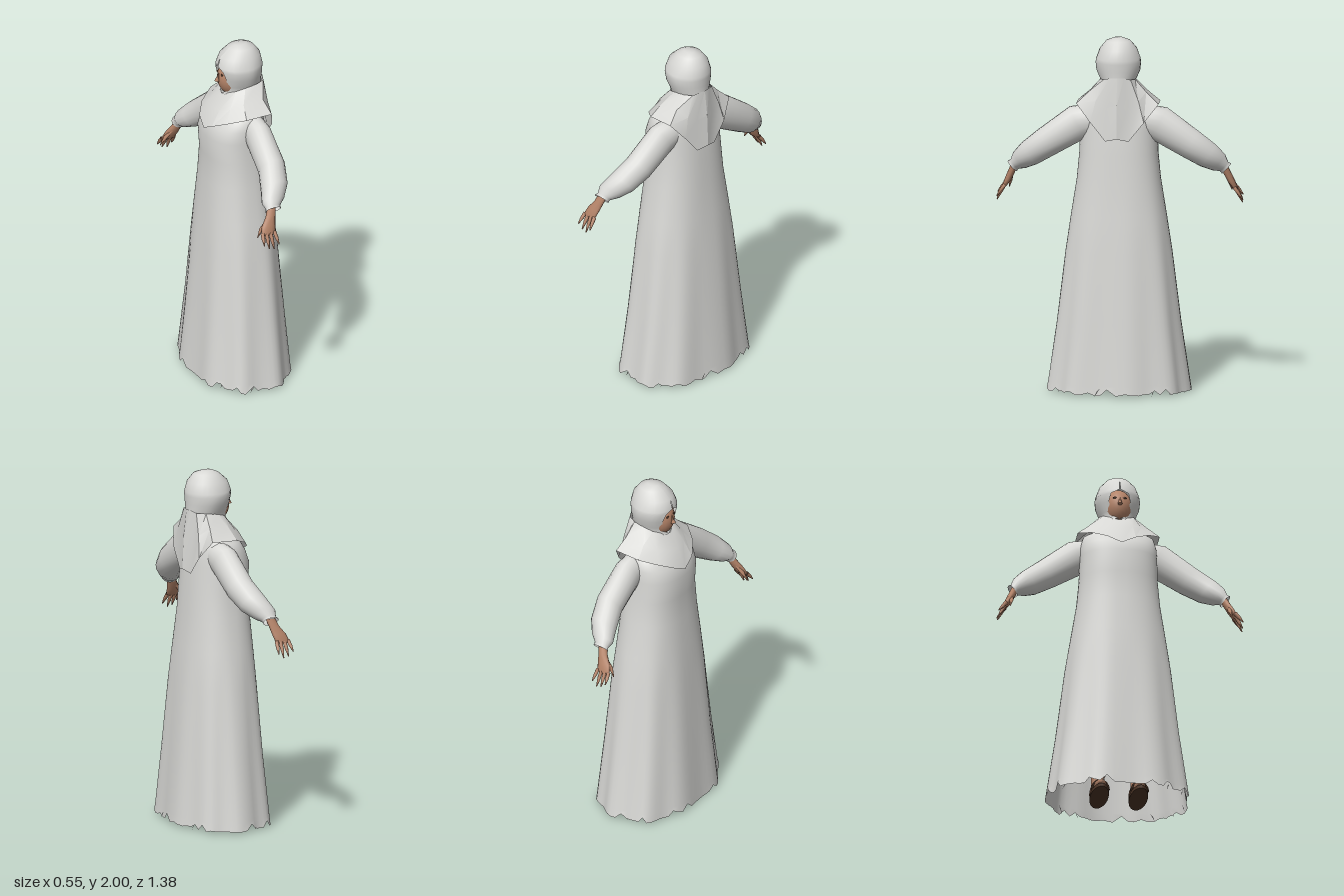
import * as THREE from 'three';
import { toCreasedNormals } from 'three/addons/utils/BufferGeometryUtils.js';

const cloth = new THREE.MeshStandardMaterial({ color: 0xd8d8d5, side: THREE.DoubleSide });
cloth.name = 'off-white cloth';
const skin = new THREE.MeshStandardMaterial({ color: 0xb58469, side: THREE.DoubleSide });
skin.name = 'brown skin';
const leather = new THREE.MeshStandardMaterial({ color: 0x4e3627, side: THREE.DoubleSide });
leather.name = 'dark leather';

const V = (x, y, z) => new THREE.Vector3(x, y, z);
let seed = 7;
const rand = () => (seed = (seed * 16807) % 2147483647) / 2147483647;

// Skin a list of equal-length point rings; open rings leave a slit
function loft(rings, closed = true) {
  const n = rings[0].length, pos = [], idx = [];
  rings.forEach(r => r.forEach(p => pos.push(p.x, p.y, p.z)));
  for (let i = 0; i < rings.length - 1; i++) {
    for (let j = 0; j < (closed ? n : n - 1); j++) {
      const a = i * n + j, b = i * n + (j + 1) % n, c = a + n, d = b + n;
      idx.push(a, b, c, b, d, c);
    }
  }
  const g = new THREE.BufferGeometry();
  g.setAttribute('position', new THREE.Float32BufferAttribute(pos, 3));
  g.setIndex(idx);
  g.computeVertexNormals();
  return g;
}

// Limb through stations [x, y, z, radius along x, radius across]
function limb(stations, sides = 12) {
  const pts = stations.map(s => V(s[0], s[1], s[2]));
  return loft(stations.map((s, i) => {
    const t = pts[Math.min(i + 1, pts.length - 1)].clone().sub(pts[Math.max(i - 1, 0)]);
    const across = V(0, -t.z, t.y).normalize();
    return Array.from({ length: sides }, (_, j) => {
      const a = j / sides * Math.PI * 2;
      return pts[i].clone().addScaledVector(across, s[4] * Math.sin(a)).add(V(s[3] * Math.cos(a), 0, 0));
    });
  }));
}

function add(parent, name, geo, mat) {
  const m = new THREE.Mesh(geo, mat);
  m.name = name;
  parent.add(m);
  return m;
}

// Mirror a geometry across z, keeping its faces outward
function mirrorZ(geo) {
  const g = geo.clone().scale(1, 1, -1);
  const ix = g.index.array;
  for (let i = 0; i < ix.length; i += 3) [ix[i], ix[i + 1]] = [ix[i + 1], ix[i]];
  return g;
}
function addPair(parent, name, geo, mat) {
  add(parent, 'left' + name, geo, mat);
  add(parent, 'right' + name, mirrorZ(geo), mat);
}

// Robe: [y, front x, back x, half width], with folds and a ragged hem
function robe() {
  const rows = [
    [0.02, -0.272, 0.262, 0.395], [0.06, -0.268, 0.258, 0.388], [0.4, -0.242, 0.235, 0.342],
    [0.8, -0.215, 0.208, 0.296], [1.0, -0.2, 0.19, 0.266], [1.2, -0.185, 0.172, 0.234],
    [1.35, -0.178, 0.164, 0.22], [1.48, -0.188, 0.152, 0.216], [1.55, -0.162, 0.145, 0.213],
    [1.61, -0.125, 0.13, 0.2], [1.66, -0.075, 0.12, 0.13], [1.71, -0.04, 0.1, 0.07]];
  const n = 72, power = 0.84;
  return loft(rows.map(([y, x0, x1, zh], i) => Array.from({ length: n }, (_, j) => {
    const a = j / n * Math.PI * 2, c = Math.cos(a), s = Math.sin(a);
    const fold = 1 + 0.035 * Math.cos(a * 9 + 1) * Math.max(0, 1 - y / 1.1);
    const sq = v => Math.sign(v) * Math.pow(Math.abs(v), power);
    const rag = i === 0 ? -0.012 + 0.05 * Math.pow(rand(), 4) : 0;
    return V((x0 + x1) / 2 + sq(c) * (x1 - x0) / 2 * fold, y + rag, sq(s) * zh * fold);
  })));
}

// Torn bits hanging round the hem
function hemTatters(parent) {
  for (let i = 0; i < 16; i++) {
    const a = i / 16 * Math.PI * 2 + rand() * 0.25, w = 0.03 + rand() * 0.05;
    const at = (t, r, y) => V(Math.cos(t) * 0.265 * r, y, Math.sin(t) * 0.385 * r);
    const g = new THREE.BufferGeometry().setFromPoints(
      [at(a, 1, 0.05), at(a + w, 1.01, 0.03), at(a + w * 1.5, 1.02, 0.002)]);
    g.setIndex([0, 1, 2]);
    g.computeVertexNormals();
    add(parent, 'hemTatter', g, cloth);
  }
}

// Hood: [y, front x, back x, half width, half angle of the face opening]
function hood() {
  const rows = [
    [2.0, 0.0, 0.07, 0.025, 0], [1.985, -0.035, 0.112, 0.068, 0], [1.94, -0.085, 0.148, 0.104, 0],
    [1.885, -0.104, 0.16, 0.124, 0.03], [1.865, -0.104, 0.16, 0.127, 0.4], [1.82, -0.095, 0.157, 0.122, 0.52],
    [1.77, -0.08, 0.155, 0.1, 0.5], [1.74, -0.075, 0.157, 0.092, 0.42], [1.715, -0.08, 0.16, 0.095, 0]];
  const n = 28;
  const rings = rows.map(([y, x0, x1, zh, gap]) => Array.from({ length: n + 1 }, (_, j) => {
    const a = gap + j / n * (Math.PI * 2 - 2 * gap);
    const wrinkle = y < 1.9 ? 1 + 0.012 * Math.cos(a * 7) : 1;
    return V((x0 + x1) / 2 - Math.cos(a) * (x1 - x0) / 2, y, Math.sin(a) * zh * wrinkle);
  }));
  rings.unshift(rings[0].map(() => V(0.035, 2.0, 0)));
  return loft(rings, false);
}

// Shoulder cape: half outlines from front to back, mirrored to full rings
function cape() {
  const halves = [
    [[-0.06, 1.72, 0], [-0.06, 1.73, 0.045], [-0.03, 1.75, 0.085], [0.02, 1.765, 0.1],
      [0.09, 1.775, 0.097], [0.14, 1.78, 0.075], [0.155, 1.79, 0.04], [0.162, 1.79, 0]],
    [[-0.14, 1.64, 0], [-0.125, 1.65, 0.07], [-0.085, 1.665, 0.12], [-0.02, 1.695, 0.16],
      [0.1, 1.705, 0.16], [0.15, 1.66, 0.12], [0.158, 1.62, 0.06], [0.18, 1.64, 0]],
    [[-0.19, 1.52, 0], [-0.178, 1.56, 0.08], [-0.125, 1.6, 0.16], [-0.035, 1.635, 0.23],
      [0.12, 1.64, 0.23], [0.162, 1.54, 0.15], [0.17, 1.435, 0.065], [0.188, 1.45, 0]]];
  const rings = halves.map(h => [
    ...h.map(p => V(...p)),
    ...h.slice(1, -1).reverse().map(p => V(p[0], p[1], -p[2]))]);
  return toCreasedNormals(loft(rings), 0.55);
}

function hand(parent) {
  addPair(parent, 'Palm', limb([[-0.055, 1.26, 0.585, 0.028, 0.02], [-0.068, 1.22, 0.602, 0.03, 0.02],
    [-0.09, 1.175, 0.622, 0.042, 0.019], [-0.1, 1.14, 0.641, 0.043, 0.014], [-0.102, 1.128, 0.647, 0.03, 0.004]], 10), skin);
  // Four fingers fan out from the knuckles
  [0.03, 0, -0.01, 0.02].forEach((lift, i) => {
    const x = -0.136 + i * 0.024, tip = -0.145 + i * 0.03, y = 1.062 + lift * 0.8;
    addPair(parent, 'Finger', limb([[x, 1.142, 0.64, 0.012, 0.012],
      [(x + tip) / 2, (1.142 + y) / 2, 0.664, 0.011, 0.01], [tip, y, 0.686, 0.003, 0.003]], 6), skin);
  });
  addPair(parent, 'Thumb', limb([[-0.085, 1.2, 0.608, 0.016, 0.014], [-0.128, 1.16, 0.612, 0.014, 0.012],
    [-0.157, 1.112, 0.622, 0.003, 0.003]], 6), skin);
}

function foot(parent) {
  const z = 0.11;
  addPair(parent, 'Ankle', new THREE.CylinderGeometry(0.042, 0.035, 0.28, 12).translate(0.03, 0.2, z), skin);
  addPair(parent, 'Foot', new THREE.SphereGeometry(1, 16, 10).scale(0.13, 0.035, 0.042).translate(-0.04, 0.06, z), skin);
  addPair(parent, 'Instep', new THREE.SphereGeometry(1, 14, 10).scale(0.07, 0.06, 0.037).translate(0.01, 0.075, z), skin);
  // Sandal sole with straps over the toes and instep
  addPair(parent, 'SandalSole', new THREE.CylinderGeometry(1, 1, 0.02, 24).scale(0.15, 1, 0.052).translate(-0.04, 0.025, z), leather);
  [-0.1, -0.01].forEach((x, i) => addPair(parent, 'SandalStrap',
    new THREE.TorusGeometry(0.046, 0.007, 6, 14, Math.PI).scale(1, 1.2 + i * 0.6, 1.8).rotateY(Math.PI / 2).translate(x, 0.035, z), leather));
}

export function createModel() {
  const model = new THREE.Group();
  model.name = 'robedFigure';

  add(model, 'robe', robe(), cloth);
  hemTatters(model);

  const head = new THREE.Group();
  head.name = 'head';
  model.add(head);
  add(head, 'hood', hood(), cloth);
  add(head, 'cape', cape(), cloth);
  add(head, 'face', new THREE.SphereGeometry(1, 24, 18).scale(0.1, 0.112, 0.082).translate(0, 1.805, 0), skin);
  add(head, 'nose', new THREE.ConeGeometry(0.014, 0.05, 6).rotateZ(-0.25).translate(-0.102, 1.818, 0), skin);
  addPair(head, 'Eye', new THREE.SphereGeometry(1, 10, 8).scale(0.004, 0.006, 0.012).translate(-0.09, 1.838, 0.028), leather);

  // Sleeves narrowing to a gathered cuff with a small frill
  addPair(model, 'Sleeve', limb([
    [0.04, 1.54, 0.15, 0.07, 0.085], [0.04, 1.52, 0.225, 0.074, 0.1], [0.037, 1.405, 0.4, 0.078, 0.085],
    [0.005, 1.332, 0.5, 0.08, 0.074], [-0.03, 1.287, 0.557, 0.068, 0.056], [-0.045, 1.262, 0.585, 0.043, 0.034],
    [-0.05, 1.25, 0.598, 0.047, 0.038]], 18), cloth);

  const hands = new THREE.Group();
  hands.name = 'hands';
  model.add(hands);
  hand(hands);

  const feet = new THREE.Group();
  feet.name = 'feet';
  model.add(feet);
  foot(feet);
  return model;
}
